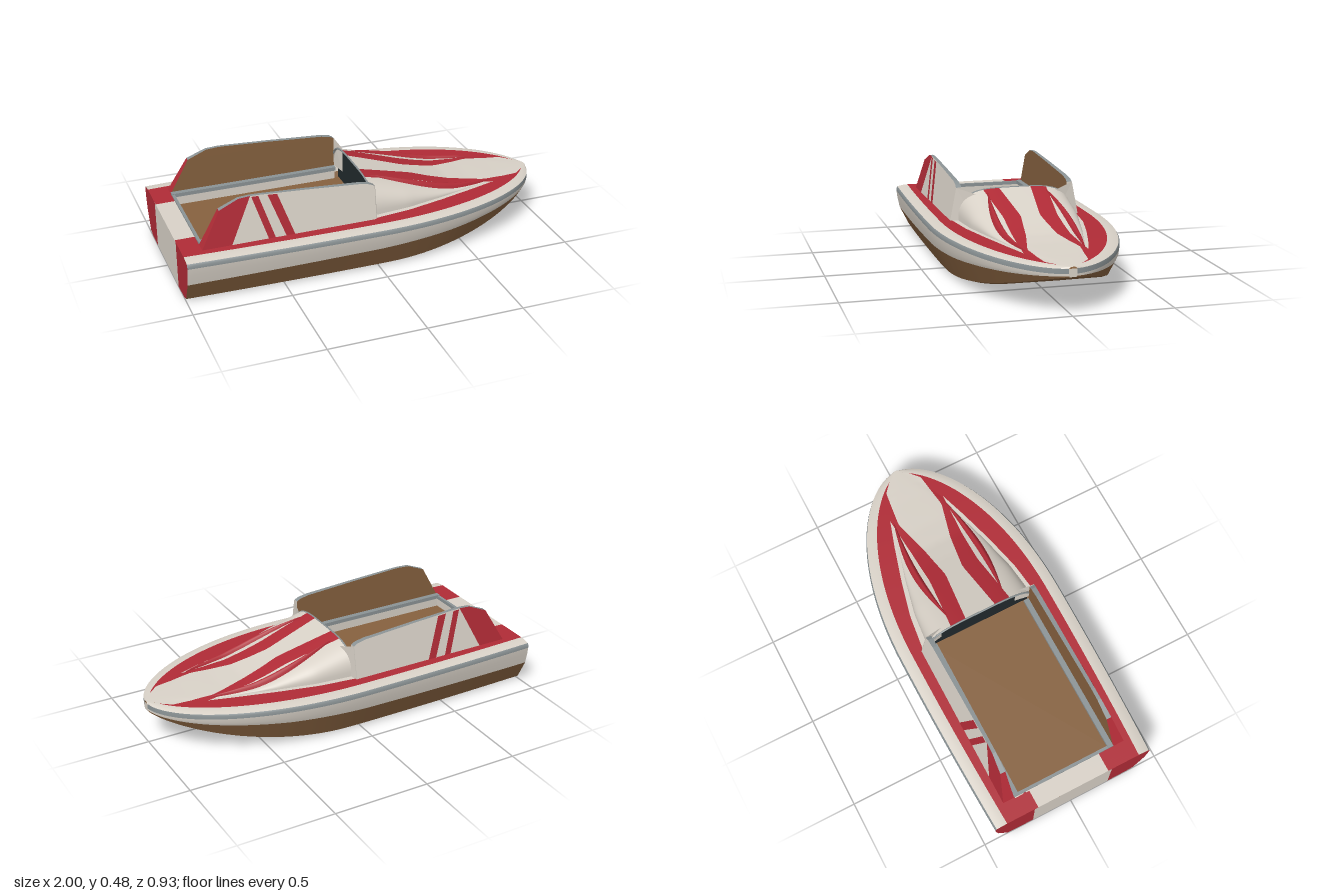
import * as THREE from 'three';

const mat = (name, color) => new THREE.MeshStandardMaterial({ name, color, side: THREE.DoubleSide });
const clamp = THREE.MathUtils.clamp;

// Piecewise curve through [x, value] pairs
function at(table, x) {
  let i = 0;
  while (i < table.length - 2 && x > table[i + 1][0]) i++;
  const [x0, a] = table[i], [x1, b] = table[i + 1];
  return a + (b - a) * clamp((x - x0) / (x1 - x0), 0, 1);
}

// Hull lines along the length (bow at +x)
const fwd = x => Math.max(x, 0);
const width = x => x < 0 ? 0.463 - 0.022 * x * x : Math.max(0.02, 0.463 * Math.pow(1 - Math.min(1, x ** 2.1), 0.56));
const drop = x => 0.016 * fwd(x) ** 3;
const keelY = x => 0.185 * Math.pow(fwd((x - 0.1) / 0.9), 1.8);
const chineY = x => at([[-1, 0.12], [0, 0.135], [0.4, 0.15], [0.8, 0.175], [1, 0.19]], x);
const rimZ = x => Math.max(width(x) - 0.065, width(x) * 0.3);
const cowlH = x => at([[0, 0.16], [0.12, 0.125], [0.3, 0.072], [0.4, 0.043], [0.5, 0.02], [0.62, 0.009], [0.8, 0.003], [1, 0]], x);
const cowlZ = x => at([[0, 0.305], [0.2, 0.285], [0.4, 0.24], [0.5, 0.212], [0.6, 0.185], [0.74, 0.15], [1, 0.01]], x);

// Deck height: gentle sheer plus the rounded front cowl
function deckY(x, z) {
  const y = 0.25 - drop(x);
  if (x < 0) return y;
  const k = Math.min(1, Math.abs(z) / cowlZ(x));
  return y + cowlH(x) * Math.pow(1 - k ** 4, 0.4);
}

// Paint boundaries across the foredeck, from the centre out
const line = table => x => Math.min(at(table, x), rimZ(x));
const paintA = line([[0, 0.085], [0.3, 0.05], [0.5, 0.08], [0.7, 0.13], [0.9, 0.105], [1, 0.02]]);
const paintB = line([[0, 0.17], [0.3, 0.14], [0.5, 0.145], [0.74, 0.16], [1, 0.16]]);
const paintC = line([[0, 0.335], [0.2, 0.31], [0.4, 0.262], [0.6, 0.205], [0.74, 0.16], [1, 0.16]]);
const mid = x => clamp(cowlZ(x), paintB(x), paintC(x));

// Surface grid; f(u, v) returns [x, y, z]
function grid(nu, nv, f, side = 1) {
  const pos = [], idx = [];
  for (let i = 0; i <= nu; i++) for (let j = 0; j <= nv; j++) {
    const [x, y, z] = f(i / nu, j / nv);
    pos.push(x, y, z * side);
  }
  for (let i = 0; i < nu; i++) for (let j = 0; j < nv; j++) {
    const a = i * (nv + 1) + j, b = a + 1, c = a + nv + 1, d = c + 1;
    if (side > 0) idx.push(a, b, c, b, d, c);
    else idx.push(a, c, b, b, c, d);
  }
  const g = new THREE.BufferGeometry();
  g.setAttribute('position', new THREE.Float32BufferAttribute(pos, 3));
  g.setIndex(idx);
  g.computeVertexNormals();
  return g;
}

// Flat convex polygon from 3D corners
function polygon(pts) {
  const g = new THREE.BufferGeometry(), pos = [];
  for (let i = 1; i < pts.length - 1; i++) pos.push(...pts[0], ...pts[i], ...pts[i + 1]);
  g.setAttribute('position', new THREE.Float32BufferAttribute(pos, 3));
  g.computeVertexNormals();
  return g;
}

export function createModel() {
  const white = mat('offWhite', 0xd8d1c7), red = mat('red', 0xb02b36), brown = mat('brown', 0x86613f);
  const grey = mat('trimGrey', 0x8b9395), dark = mat('darkInterior', 0x222a2d);
  const model = new THREE.Group();
  const add = (name, geo, m) => {
    const mesh = new THREE.Mesh(geo, m);
    mesh.name = name;
    model.add(mesh);
    return mesh;
  };
  const box = (name, m, x0, x1, y0, y1, z0, z1) =>
    add(name, new THREE.BoxGeometry(x1 - x0, y1 - y0, z1 - z0), m).position.set((x0 + x1) / 2, (y0 + y1) / 2, (z0 + z1) / 2);
  const both = (name, m, nu, nv, f) => [1, -1].forEach(s => add(name, grid(nu, nv, f, s), m));

  // Hull sides and bottom, one band at a time from gunwale to keel
  const hullX = u => u < 0.4 ? -1 + u / 0.4 : Math.sin((u - 0.4) / 0.6 * Math.PI / 2);
  const section = x => {
    const w = width(x), k = keelY(x), c = chineY(x), s = (c - k) / 0.135;
    return [[w * 0.985, 0.241 - drop(x)], [w, 0.232 - drop(x)], [w, 0.216 - drop(x)], [w * 0.99, 0.18 + drop(x)],
      [w * 0.962, c], [w * 0.84, k + 0.015 * s], [w * 0.75, k + 0.003 * s], [0, k]];
  };
  const band = (name, m, first, last) => both(name, m, 80, last - first, (u, v) => {
    const x = hullX(u), [z, y] = section(x)[first + Math.round(v * (last - first))];
    return [x, y, z];
  });
  band('rubRail', grey, 0, 2);
  band('topside', white, 2, 4);
  band('lowerSide', brown, 4, 5);
  band('hullBottom', brown, 5, 7);

  // Bow tip and striped transom
  const tip = section(1);
  add('bowTip', polygon([...tip.map(([z, y]) => [1, y, z]), ...tip.slice(0, 7).reverse().map(([z, y]) => [1, y, -z])]), white);
  const stern = section(-1).slice(0, 7);
  for (const s of [1, -1]) {
    add('transomSide', polygon([[-1, 0.25, s * 0.22], [-1, 0.25, s * rimZ(-1)],
      ...stern.map(([z, y]) => [-1, y, s * z]), [-1, 0, s * 0.22]]), red);
  }
  add('transomCentre', polygon([[-1, 0.25, 0.22], [-1, 0.25, -0.22], [-1, 0, -0.22], [-1, 0, 0.22]]), white);

  // Rounded deck edge
  both('deckEdge', white, 80, 5, (u, v) => {
    const x = hullX(u), z0 = rimZ(x), z1 = width(x) * 0.985;
    return [x, 0.25 - drop(x) - 0.009 * v * v, z0 + (z1 - z0) * v];
  });

  // Painted foredeck and cowl
  const foredeck = (name, m, lo, hi, nv) => both(name, m, 60, nv, (u, v) => {
    const x = Math.sin(u * Math.PI / 2), t = Math.sin(v * Math.PI / 2), a = lo(x);
    const z = a + Math.max(0, hi(x) - a) * t;
    return [x, deckY(x, z), z];
  });
  foredeck('cowlCentre', white, () => 0, paintA, 6);
  foredeck('cowlStripe', red, paintA, paintB, 6);
  foredeck('cowlShoulder', white, paintB, mid, 14);
  foredeck('cowlFoot', white, mid, paintC, 2);
  foredeck('foredeckBand', red, paintC, rimZ, 4);

  // Side and aft deck around the cockpit
  const aft = (name, m, x0, x1, lo, hi) => both(name, m, 12, 1, (u, v) => {
    const x = x0 + (x1 - x0) * u;
    return [x, 0.25, v ? hi(x) : lo];
  });
  aft('sideDeck', red, -0.9, 0, 0.28, rimZ);
  aft('aftDeckSide', red, -1, -0.9, 0.2, rimZ);
  aft('aftDeckCentre', white, -1, -0.9, 0, () => 0.2);

  // Curved fins along the cowl
  both('cowlFin', red, 32, 8, (u, v) => {
    const x = 0.04 + 0.69 * u, k = v * 2 - 1, bow = Math.sin(Math.PI * u);
    const z = 0.155 + 0.035 * bow - 0.008 * u + 0.019 * bow * k;
    return [x, deckY(x, z) + 0.002 + 0.02 * Math.sqrt(bow) * (1 - k * k), z];
  });

  // Cockpit: floor, walls, trim and dash
  box('cockpitFloor', brown, -0.9, 0.03, 0.17, 0.19, -0.28, 0.28);
  box('cockpitRearWall', white, -0.905, -0.895, 0.17, 0.25, -0.28, 0.28);
  box('rearTrim', grey, -0.9, -0.885, 0.24, 0.258, -0.28, 0.28);
  for (const s of [1, -1]) {
    box('cockpitSideWall', white, -0.9, 0, 0.17, 0.25, s * 0.275 - 0.005, s * 0.275 + 0.005);
    box('coaming', grey, -0.9, 0, 0.242, 0.262, s * 0.27 - 0.014, s * 0.27 + 0.014);
  }
  const arch = [];
  for (let i = -20; i <= 20; i++) {
    const z = 0.29 * Math.sin(i / 20 * Math.PI / 2);
    arch.push([z, deckY(0, z)]);
  }
  add('dash', polygon([[0.025, 0.19, -0.29], ...arch.map(([z, y]) => [0.025, y - 0.016, z]), [0.025, 0.19, 0.29]]), dark);
  const lip = new THREE.CatmullRomCurve3(arch.map(([z, y]) => new THREE.Vector3(0, y - 0.002, z)));
  add('cowlLip', new THREE.TubeGeometry(lip, 48, 0.005, 6), grey);

  // Tall side panels, leaning inwards
  const profile = [[-0.9, 0.25], [-0.8, 0.43], [-0.7, 0.472], [-0.64, 0.476], [-0.6, 0.475],
    [-0.37, 0.462], [-0.07, 0.442], [-0.02, 0.432], [0, 0.42], [0, 0.25]];
  const outZ = y => 0.345 - (y - 0.25) * 0.19;
  const inZ = y => 0.284 + Math.max(0, y - 0.4) * 0.1;
  const panelTop = x => at(profile.slice(0, 9), x) - 0.004;
  const stripes = [[-0.635, -0.6, -0.565, -0.53], [-0.553, -0.505, -0.475, -0.43]];
  const tail = [...profile.slice(0, 4), [-0.75, 0.25]];
  const plate = (pts, zOf, off) => {
    const g = new THREE.ShapeGeometry(new THREE.Shape(pts.map(p => new THREE.Vector2(...p))));
    const p = g.attributes.position;
    for (let i = 0; i < p.count; i++) p.setZ(i, zOf(p.getY(i)) + off);
    g.computeVertexNormals();
    return g;
  };
  for (const s of [1, -1]) {
    const panel = (name, geo, m) => {
      if (s < 0) {
        geo.scale(1, 1, -1);
        if (geo.index) geo.index.array.reverse();
        geo.computeVertexNormals();
      }
      add(name, geo, m);
    };
    panel('panelOuter', plate([[-0.75, 0.25], ...profile.slice(3)], outZ, 0), white);
    panel('panelTail', plate(tail, outZ, 0), red);
    panel('panelInner', plate(profile, () => 0.284, 0), brown);
    for (const [t0, t1, b0, b1] of stripes) {
      panel('panelStripe', plate([[t0, panelTop(t0)], [t1, panelTop(t1)], [b1, 0.251], [b0, 0.251]], outZ, 0.002), red);
    }
    // Panel edge: red at the tail, grey along the top, white at the front
    for (let i = 0; i < profile.length - 1; i++) {
      const [x0, y0] = profile[i], [x1, y1] = profile[i + 1];
      add('panelEdge', polygon([[x0, y0, s * outZ(y0)], [x1, y1, s * outZ(y1)],
        [x1, y1, s * inZ(0)], [x0, y0, s * inZ(0)]]), i < 1 ? red : i < 8 ? grey : white);
    }
    // Web joining the panel to the cowl
    add('frontWeb', polygon([[0.003, 0.42, s * 0.312], [0.025, 0.386, s * 0.215],
      [0.025, 0.25, s * 0.215], [0.003, 0.25, s * 0.345]]), white);
  }
  return model;
}
